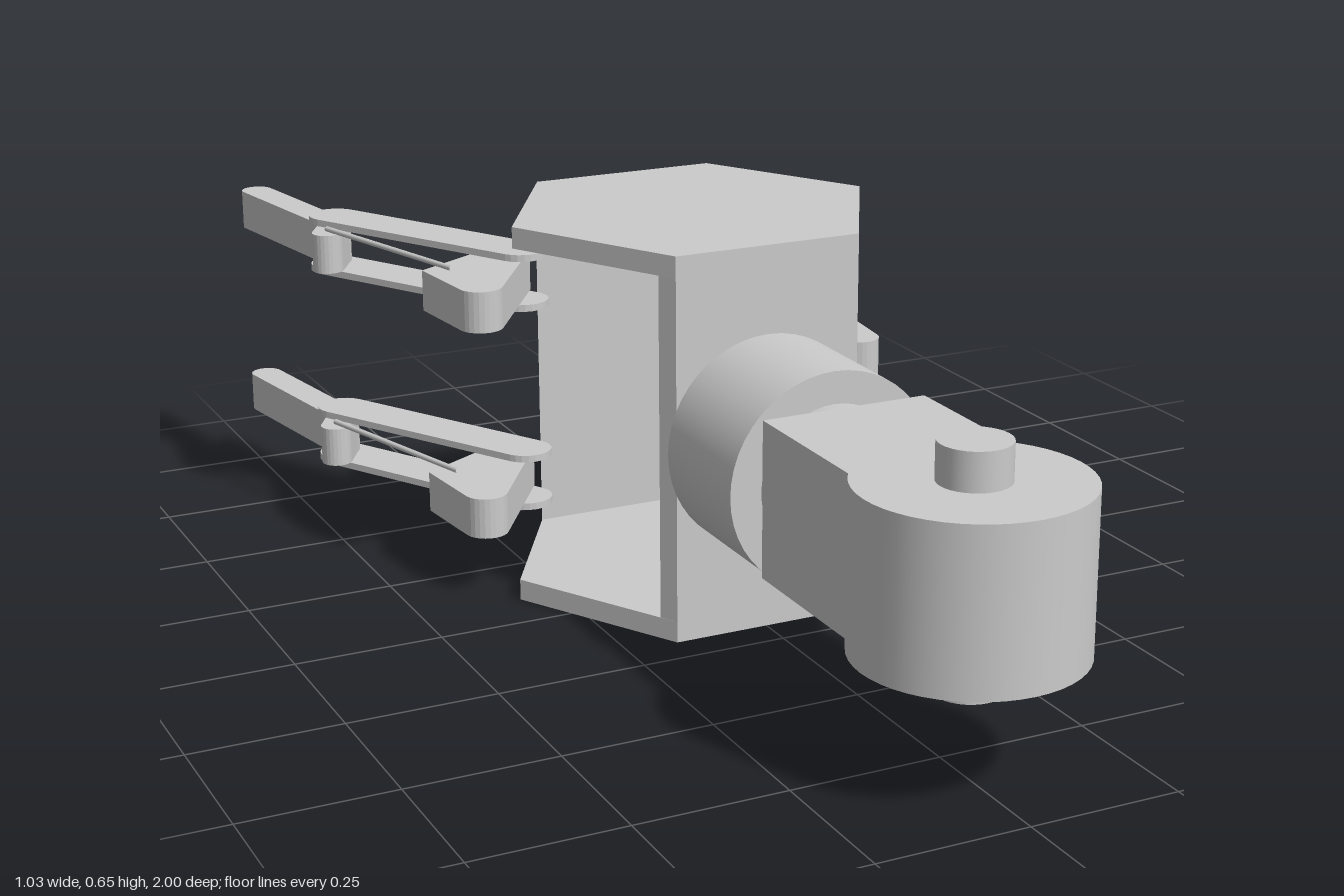
import * as THREE from 'three';

const material = new THREE.MeshStandardMaterial({ color: 0xcccccc });
const MID = 0.325; // height of the hand's main axis

function add(parent, name, geometry, x = 0, y = 0, z = 0) {
  const mesh = new THREE.Mesh(geometry, material);
  mesh.name = name;
  mesh.position.set(x, y, z);
  parent.add(mesh);
  return mesh;
}

// Upright slab from a plan outline of [x, z] points, between two heights
function slab(points, y0, y1) {
  const shape = new THREE.Shape(points.map(([x, z]) => new THREE.Vector2(x, -z)));
  return new THREE.ExtrudeGeometry(shape, { depth: y1 - y0, bevelEnabled: false })
    .rotateX(-Math.PI / 2).translate(0, y0, 0);
}

// Plan outline of a bar with rounded ends
function capsule([ax, az], [bx, bz], r, steps = 12) {
  const heading = Math.atan2(bz - az, bx - ax);
  const points = [];
  for (const [cx, cz, start] of [[bx, bz, heading - Math.PI / 2], [ax, az, heading + Math.PI / 2]]) {
    for (let i = 0; i <= steps; i++) {
      const a = start + Math.PI * i / steps;
      points.push([cx + r * Math.cos(a), cz + r * Math.sin(a)]);
    }
  }
  return points;
}

function makePalm() {
  const palm = new THREE.Group();
  palm.name = 'palm';
  const front = 0.19, middle = -0.095, back = -0.37;
  const wFront = 0.163, wMiddle = 0.322, wBack = 0.163, height = 0.65, t = 0.036;
  const hexagon = [[-wFront, front], [wFront, front], [wMiddle, middle],
    [wBack, back], [-wBack, back], [-wMiddle, middle]];
  add(palm, 'palmBottomPlate', slab(hexagon, 0, t));
  add(palm, 'palmTopPlate', slab(hexagon, height - t, height));
  // Walls follow the hexagon's slanting sides
  const wall = (z, w, zIn, wIn) => slab([[-w, z], [w, z], [wIn, zIn], [-wIn, zIn]], t, height - t);
  add(palm, 'palmFrontWall', wall(front, wFront, 0.16, 0.179));
  add(palm, 'palmBackWall', wall(back, wBack, -0.346, 0.177));
  return palm;
}

function makeArm() {
  const arm = new THREE.Group();
  arm.name = 'arm';
  const along = (r, z0, z1) =>
    new THREE.CylinderGeometry(r, r, z1 - z0, 48).rotateX(Math.PI / 2).translate(0, 0, (z0 + z1) / 2);
  add(arm, 'wristDrum', along(0.178, 0.19, 0.412), 0, MID);
  add(arm, 'wristCollar', along(0.125, 0.41, 0.447), 0, MID);
  add(arm, 'forearm', new THREE.BoxGeometry(0.28, 0.254, 0.375), 0, 0.327, 0.6325);
  add(arm, 'elbowDrum', new THREE.CylinderGeometry(0.178, 0.178, 0.26, 48), 0, 0.328, 0.822);
  add(arm, 'elbowPin', new THREE.CylinderGeometry(0.056, 0.056, 0.38, 32), 0, 0.329, 0.822);
  return arm;
}

// Finger on the +x side, centred on y = 0
function makeFinger() {
  const finger = new THREE.Group();
  const knuckle = [0.225, -0.297], joint = [0.435, -0.667];
  const tip = [0.486, -0.972], lever = [0.469, -0.608], anchor = [0.366, -0.26];
  const half = 0.035;

  // Mounting block beside the palm with a rounded front corner
  const base = [[0.195, -0.333], [0.222, -0.352], [0.275, -0.365], [0.408, -0.29]];
  for (let i = 0; i <= 10; i++) {
    const a = 0.15 + (Math.PI * 0.78) * i / 10;
    base.push([0.357 + 0.037 * Math.cos(a), -0.153 + 0.037 * Math.sin(a)]);
  }
  add(finger, 'fingerBase', slab(base, -half, half));

  // Pair of side links
  for (const s of [-1, 1]) {
    add(finger, 'fingerLink', slab(capsule(knuckle, joint, 0.045), -0.006, 0.006), 0, s * 0.044, 0);
  }

  // Fingertip and its crank
  add(finger, 'fingertip', slab(capsule(joint, tip, 0.028), -half, half));
  add(finger, 'fingertipCrank', slab(capsule(joint, lever, 0.027), -half + 0.0005, half - 0.0005));

  // Thin rod from the base to the crank
  const y = -0.041;
  const path = new THREE.LineCurve3(
    new THREE.Vector3(anchor[0], y, anchor[1]), new THREE.Vector3(lever[0], y, lever[1]));
  add(finger, 'pullRod', new THREE.TubeGeometry(path, 1, 0.005, 8));
  return finger;
}

export function createModel() {
  const model = new THREE.Group();
  model.name = 'roboticHand';
  model.add(makePalm(), makeArm());

  // One thumb on the left, two fingers turned over on the right
  for (const [name, y, turn] of [['thumb', MID, 0], ['upperFinger', 0.505, Math.PI], ['lowerFinger', 0.145, Math.PI]]) {
    const finger = makeFinger();
    finger.name = name;
    finger.position.y = y;
    finger.rotation.z = turn;
    model.add(finger);
  }
  return model;
}
